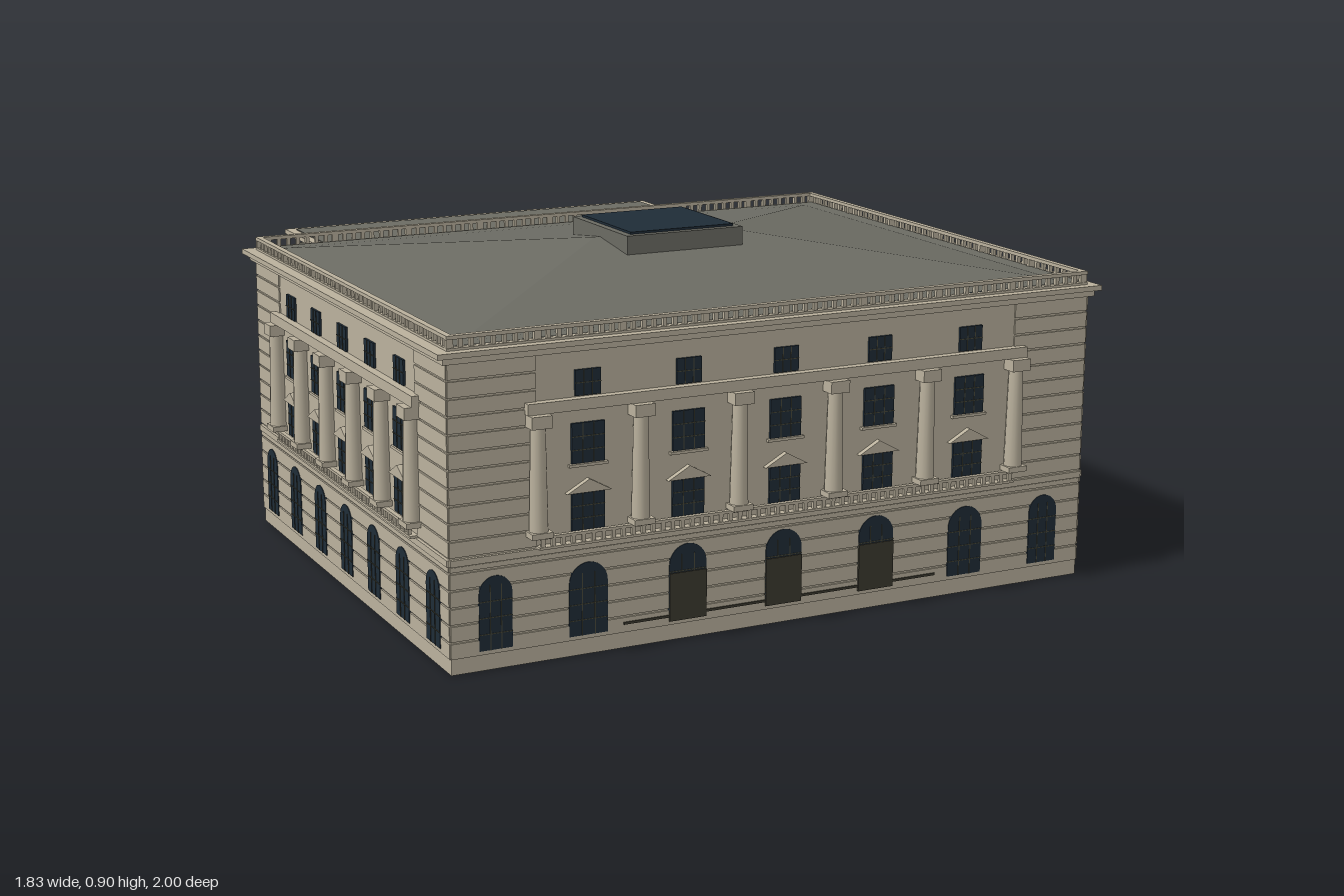
import * as THREE from 'three';
import { mergeGeometries } from 'three/addons/utils/BufferGeometryUtils.js';

const material = (name, color, side = THREE.FrontSide) => {
  const m = new THREE.MeshStandardMaterial({ color, side });
  m.name = name;
  return m;
};

// Box given by its limits on each axis
const box = (x0, x1, y0, y1, z0, z1) =>
  new THREE.BoxGeometry(x1 - x0, y1 - y0, z1 - z0).translate((x0 + x1) / 2, (y0 + y1) / 2, (z0 + z1) / 2);

// Four bars around a rectangle
const ring = (x0, x1, z0, z1, y0, y1, t) => [
  box(x0, x1, y0, y1, z1 - t, z1), box(x0, x1, y0, y1, z0, z0 + t),
  box(x0, x0 + t, y0, y1, z0 + t, z1 - t), box(x1 - t, x1, y0, y1, z0 + t, z1 - t),
];

const extrude = (shape, depth, z) =>
  new THREE.ExtrudeGeometry(shape, { depth, bevelEnabled: false, curveSegments: 8 }).translate(0, 0, z);

function archShape(x, w, y0, y1) {
  const r = w / 2, s = new THREE.Shape();
  s.moveTo(x - r, y0);
  s.lineTo(x + r, y0);
  s.lineTo(x + r, y1 - r);
  s.absarc(x, y1 - r, r, 0, Math.PI, false);
  s.closePath();
  return s;
}

export function createModel() {
  const stone = material('stone', 0xbab19d, THREE.DoubleSide);
  const roofGrey = material('roofGrey', 0x6b6b63, THREE.DoubleSide);
  const glass = material('glass', 0x1f2c37);
  const doorBrown = material('doorBrown', 0x3b392f);
  const barOlive = material('barOlive', 0x47483a);

  const model = new THREE.Group();
  model.name = 'palaceBuilding';

  const add = (parent, name, mat, geos) => {
    if (!geos.length) return;
    const mesh = new THREE.Mesh(mergeGeometries(geos.map((g) => (g.index ? g.toNonIndexed() : g))), mat);
    mesh.name = name;
    parent.add(mesh);
  };

  // Open-bottomed walls, single skinned
  const shell = (x0, x1, z0, z1, h) => [
    new THREE.PlaneGeometry(x1 - x0, h).translate((x0 + x1) / 2, h / 2, z1),
    new THREE.PlaneGeometry(x1 - x0, h).rotateY(Math.PI).translate((x0 + x1) / 2, h / 2, z0),
    new THREE.PlaneGeometry(z1 - z0, h).rotateY(Math.PI / 2).translate(x1, h / 2, (z0 + z1) / 2),
    new THREE.PlaneGeometry(z1 - z0, h).rotateY(-Math.PI / 2).translate(x0, h / 2, (z0 + z1) / 2),
  ];

  // A facade is drawn facing +z with the wall at z = 0
  function facade(name, x, z, turn) {
    const group = new THREE.Group();
    group.name = name;
    group.position.set(x, 0, z);
    group.rotation.y = turn;
    model.add(group);
    const g = { panes: [], bars: [], doors: [], trim: [], courses: [], columns: [], balcony: [] };
    const bars = (u, w, y0, y1, rows) => {
      for (const k of [-1 / 6, 1 / 6]) g.bars.push(box(u + k * w - 0.001, u + k * w + 0.001, y0, y1, 0.005, 0.0075));
      for (let i = 1; i < rows; i++) {
        const y = y0 + ((y1 - y0) * i) / rows;
        g.bars.push(box(u - w / 2, u + w / 2, y - 0.001, y + 0.001, 0.005, 0.0075));
      }
    };
    return {
      g,
      window(u, w, y0, y1, rows = 3) {
        g.panes.push(box(u - w / 2, u + w / 2, y0, y1, -0.003, 0.006));
        bars(u, w, y0, y1, rows);
      },
      arch(u, w, top, door) {
        g.panes.push(extrude(archShape(u, w, 0.05, top), 0.009, -0.003));
        bars(u, w, 0.05, top - w * 0.25, 4);
        if (door) g.doors.push(box(u - w / 2, u + w / 2, 0.05, 0.17, 0.0, 0.009));
      },
      // Small gable and sill of a first-floor window
      gable(u) {
        const s = new THREE.Shape();
        s.moveTo(u - 0.058, 0.403);
        s.lineTo(u + 0.058, 0.403);
        s.lineTo(u, 0.435);
        s.closePath();
        g.trim.push(extrude(s, 0.014, 0), box(u - 0.05, u + 0.05, 0.465, 0.472, 0, 0.01));
      },
      // Rusticated stone courses with narrow joints
      rustic(u0, u1, y0, y1, step = 0.042) {
        for (let y = y0; y < y1 - 0.01; y += step)
          g.courses.push(box(u0, u1, y, Math.min(y + step - 0.005, y1), 0, 0.004));
      },
      finish() {
        add(group, 'windowPanes', glass, g.panes);
        add(group, 'windowBars', barOlive, g.bars);
        add(group, 'doors', doorBrown, g.doors);
        add(group, 'windowTrim', stone, g.trim);
        add(group, 'stoneCourses', stone, g.courses);
        add(group, 'columns', stone, g.columns);
        add(group, 'balcony', stone, g.balcony);
      },
    };
  }

  // Main facades: seven ground arches, five upper bays
  function grandFacade(name, x, z, turn, len, step, end, hasColumns, hasDoors) {
    const f = facade(name, x, z, turn), half = len / 2, q = 2.5 * step;
    f.rustic(-half, half, 0.04, 0.262);
    for (const s of [-1, 1]) f.rustic(Math.min(s * q, s * half), Math.max(s * q, s * half), 0.285, 0.74);
    f.g.trim.push(box(-half, half, 0.264, 0.28, 0, 0.008));
    for (let i = -3; i <= 3; i++) {
      const u = Math.abs(i) === 3 ? Math.sign(i) * end : i * step;
      const door = hasDoors && Math.abs(i) < 2;
      f.arch(u, hasDoors && Math.abs(i) < 3 ? 0.1 : 0.084, door ? 0.24 : 0.23, door);
      if (Math.abs(i) === 3) continue;
      f.window(u, 0.085, 0.31, 0.4);
      f.window(u, 0.085, 0.473, 0.57);
      f.window(u, 0.066, 0.635, 0.697, 2);
      f.gable(u);
    }
    // Balcony railing
    f.g.balcony.push(box(-q, q, 0.28, 0.286, 0, 0.022), box(-q, q, 0.305, 0.312, 0.01, 0.022));
    for (let u = -q + 0.01; u < q; u += 0.026) f.g.balcony.push(box(u - 0.005, u + 0.005, 0.286, 0.305, 0.012, 0.02));
    if (hasColumns) {
      for (let i = -2.5; i <= 2.5; i++) {
        const u = i * step;
        f.g.columns.push(
          new THREE.CylinderGeometry(0.018, 0.023, 0.25, 14).translate(u, 0.45, 0.015),
          box(u - 0.027, u + 0.027, 0.312, 0.326, -0.004, 0.04),
          box(u - 0.026, u + 0.026, 0.575, 0.605, -0.004, 0.04),
        );
      }
      f.g.trim.push(box(-q - 0.028, q + 0.028, 0.605, 0.632, 0, 0.022));
    }
    f.finish();
  }

  const X0 = -0.877, X1 = 0.88, Z0 = -0.42, Z1 = 0.96, ZC = 0.27;
  add(model, 'mainWalls', stone, shell(X0, X1, Z0, Z1, 0.75));
  grandFacade('frontFacade', 0, Z1, 0, 1.757, 0.264, 0.766, true, true);
  grandFacade('leftFacade', X1, ZC, Math.PI / 2, 1.38, 0.198, 0.594, false, false);
  grandFacade('rightFacade', X0, ZC, -Math.PI / 2, 1.38, 0.198, 0.594, true, false);
  add(model, 'entranceStep', doorBrown, [box(-0.435, 0.44, 0.06, 0.066, 0.87, 0.967)]);

  // Rear wall on both sides of the wing; local u runs along -x
  const rear = facade('rearFacade', 0, Z0, Math.PI);
  rear.rustic(0.67, 0.877, 0.04, 0.262);
  rear.rustic(0.67, 0.877, 0.285, 0.74);
  rear.rustic(-0.88, -0.43, 0.04, 0.262);
  rear.rustic(-0.88, -0.66, 0.285, 0.74);
  for (const u of [-0.765, -0.56, 0.77]) rear.arch(u, 0.084, 0.23, false);
  rear.window(-0.56, 0.085, 0.31, 0.4);
  rear.window(-0.56, 0.085, 0.473, 0.57);
  rear.window(-0.56, 0.066, 0.635, 0.697, 2);
  rear.gable(-0.56);
  rear.finish();

  // Rear wing with plain windows
  add(model, 'wingWalls', stone, shell(-0.67, 0.435, -0.697, Z0 - 0.002, 0.73));
  const wingFaces = [
    ['wingBack', -0.118, -0.697, Math.PI, [-0.46, -0.276, -0.092, 0.092, 0.276, 0.46]],
    ['wingLeft', 0.435, -0.557, Math.PI / 2, [0]],
    ['wingRight', -0.67, -0.557, -Math.PI / 2, [0]],
  ];
  for (const [name, x, z, turn, places] of wingFaces) {
    const f = facade(name, x, z, turn);
    for (const u of places) {
      f.window(u, 0.078, 0.05, 0.228, 4);
      f.window(u, 0.078, 0.31, 0.405);
      f.window(u, 0.078, 0.473, 0.57);
      f.window(u, 0.075, 0.635, 0.697, 2);
    }
    f.finish();
  }
  add(model, 'wingEaves', stone, [box(-0.695, 0.455, 0.754, 0.766, -0.725, -0.43)]);
  add(model, 'wingRoof', roofGrey, [
    box(-0.67, 0.432, 0.766, 0.769, -0.697, -0.43),
    new THREE.PlaneGeometry(1.1, 0.275).rotateX(-Math.PI / 2).translate(-0.118, 0.728, -0.559),
  ]);
  add(model, 'rearBlock', stone, [box(-0.02, 0.085, 0, 0.455, -1, -0.697)]);

  // Cornice and roof balustrade
  add(model, 'cornice', stone, [
    ...ring(X0 - 0.015, X1 + 0.015, Z0 - 0.018, Z1 + 0.012, 0.742, 0.758, 0.04),
    ...ring(-0.908, 0.908, -0.455, 0.984, 0.758, 0.771, 0.06),
  ]);
  const rail = [
    ...ring(X0, X1, Z0 - 0.008, Z1, 0.771, 0.777, 0.016),
    ...ring(X0, X1, Z0 - 0.008, Z1, 0.797, 0.806, 0.016),
  ];
  const baluster = (x, z, i) => {
    const w = i % 8 === 0 ? 0.009 : 0.005;
    rail.push(box(x - w, x + w, 0.777, 0.797, z - 0.005, z + 0.005));
  };
  for (let i = 0; i <= 64; i++) {
    const x = X0 + 0.009 + (i / 64) * (X1 - X0 - 0.018);
    baluster(x, Z1 - 0.008, i);
    baluster(x, Z0, i);
  }
  for (let i = 1; i < 48; i++) {
    const z = Z0 + (i / 48) * (Z1 - Z0 - 0.008);
    baluster(X0 + 0.008, z, i);
    baluster(X1 - 0.008, z, i);
  }
  add(model, 'roofBalustrade', stone, rail);

  // Low hipped roof over a flat deck
  const hip = new THREE.BufferGeometry();
  const [w, n, s, y0, y1, r] = [0.82, -0.37, 0.91, 0.78, 0.865, 0.18];
  const A = [-w, y0, s], B = [w, y0, s], C = [w, y0, n], D = [-w, y0, n], E = [-r, y1, ZC], F = [r, y1, ZC];
  const faces = [A, B, F, A, F, E, B, C, F, C, D, E, C, E, F, D, A, E];
  hip.setAttribute('position', new THREE.Float32BufferAttribute(faces.flat(), 3));
  hip.computeVertexNormals();
  add(model, 'hippedRoof', roofGrey, [hip]);
  add(model, 'roofDeck', roofGrey, [
    new THREE.PlaneGeometry(X1 - X0 - 0.02, Z1 - Z0 - 0.02).rotateX(-Math.PI / 2).translate(0, 0.779, ZC),
  ]);

  // Skylight
  add(model, 'skylightFrame', roofGrey, [box(-0.166, 0.168, 0.835, 0.892, 0.103, 0.432)]);
  add(model, 'skylightGlass', glass, [box(-0.147, 0.15, 0.89, 0.898, 0.12, 0.413)]);
  return model;
}
